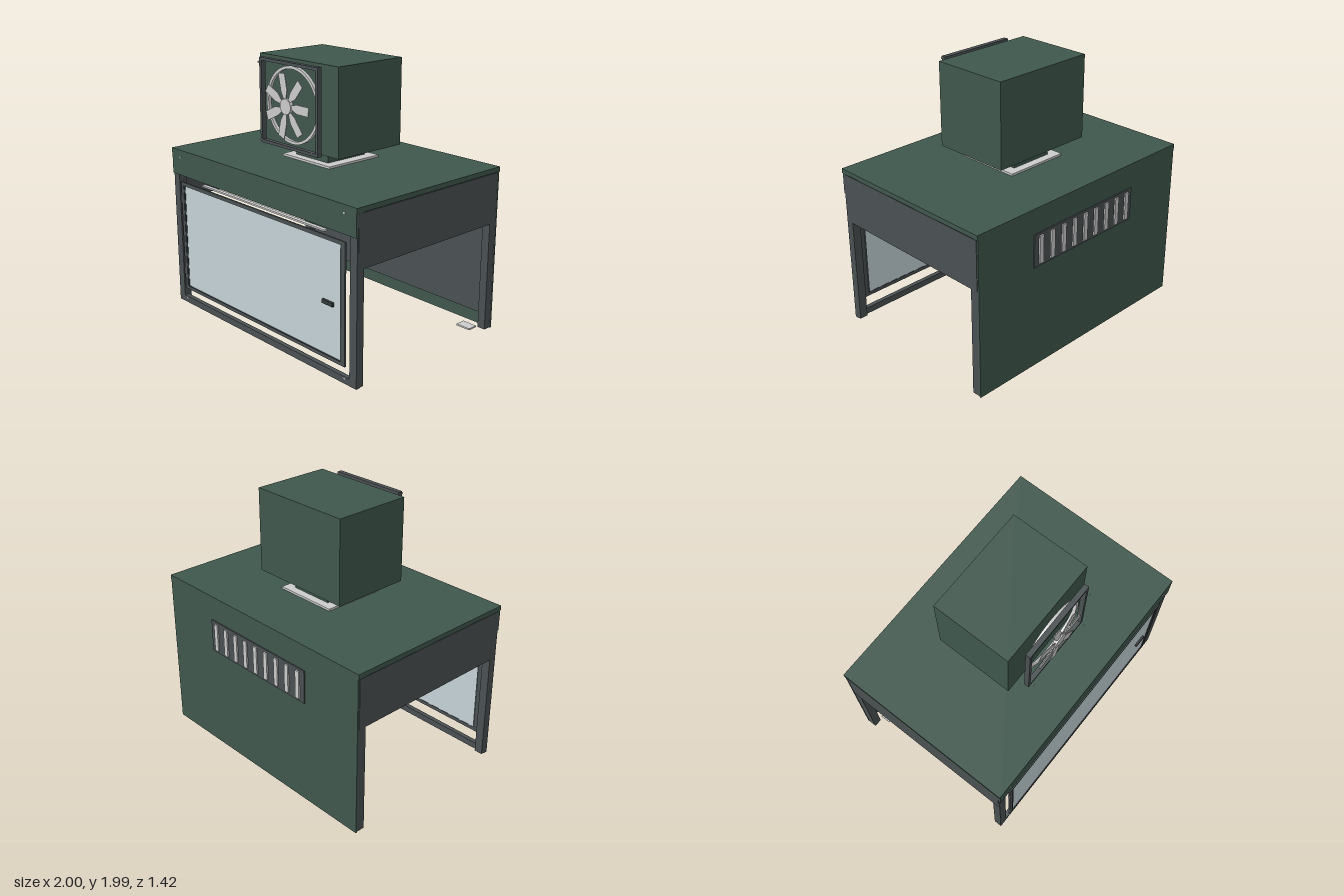
import * as THREE from 'three';

const mat = (color) => new THREE.MeshStandardMaterial({ color });

export function createModel() {
  const root = new THREE.Group();
  root.name = 'coolingCabinet';
  const green = mat(0x3f574d), dark = mat(0x4a5052), black = mat(0x34393b);
  const grey = mat(0xcccccc), glass = mat(0xc4d2d6);

  const add = (name, geometry, material, parent = root) => {
    const m = new THREE.Mesh(geometry, material);
    m.name = name;
    parent.add(m);
    return m;
  };
  // Box given by its limits on each axis
  const box = (name, x0, x1, y0, y1, z0, z1, material, parent) => {
    const m = add(name, new THREE.BoxGeometry(x1 - x0, y1 - y0, z1 - z0), material, parent);
    m.position.set((x0 + x1) / 2, (y0 + y1) / 2, (z0 + z1) / 2);
    return m;
  };
  // Rectangular frame in the xy plane, extruded from z0 to z1
  const rect = (T, w, h) => {
    const s = new T();
    s.moveTo(-w, -h); s.lineTo(w, -h); s.lineTo(w, h); s.lineTo(-w, h); s.closePath();
    return s;
  };
  const frame = (name, w, h, iw, ih, depth, material, parent) => {
    const s = rect(THREE.Shape, w, h);
    s.holes.push(rect(THREE.Path, iw, ih));
    return add(name, new THREE.ExtrudeGeometry(s, { depth, bevelEnabled: false }), material, parent);
  };
  const disc = (name, r, depth, x, y, z, material, parent, sides = 32) => {
    const m = add(name, new THREE.CylinderGeometry(r, r, depth, sides).rotateX(Math.PI / 2), material, parent);
    m.position.set(x, y, z);
    return m;
  };

  // Cabinet shell
  box('topPanel', -1, 1, 1.21, 1.245, -0.69, 0.70, green);
  box('headerPanel', -0.995, 0.995, 1.05, 1.21, 0.69, 0.70, green);
  box('backPanel', -0.995, 0.995, 0.015, 1.21, -0.69, -0.68, green);
  box('backLiner', -0.93, 0.93, 0.11, 1.2, -0.68, -0.67, dark);
  box('bottomRail', -0.995, 0.995, 0.015, 0.065, 0.655, 0.69, dark);
  box('lightStrip', -0.67, 0.67, 1.003, 1.015, 0.64, 0.67, grey);

  for (const s of [-1, 1]) {
    const pair = (name, a, b, ...rest) => box(name, Math.min(s * a, s * b), Math.max(s * a, s * b), ...rest);
    pair('frontLeg', 0.93, 0.995, 0.02, 1.21, 0.63, 0.69, dark);
    pair('rearLeg', 0.93, 0.993, 0.02, 1.2, -0.68, -0.615, dark);
    pair('sidePanel', 0.98, 0.997, 0.835, 1.205, -0.675, 0.68, dark);
    pair('footPlate', 0.78, 0.90, 0, 0.012, -0.635, -0.555, grey);
    for (const y of [0.055, 1.19]) disc('screw', 0.008, 0.006, s * 0.89, y, y > 1 ? 0.702 : 0.692, grey, root, 12);
  }

  // Glazed door
  const door = new THREE.Group();
  door.name = 'door';
  door.position.set(0, 0.57, 0.688);
  root.add(door);
  frame('doorFrame', 0.895, 0.43, 0.865, 0.405, 0.013, dark, door);
  frame('doorSeal', 0.868, 0.408, 0.85, 0.4, 0.01, black, door);
  box('doorGlass', -0.855, 0.855, -0.402, 0.402, 0.002, 0.007, glass, door);
  box('doorHandle', 0.69, 0.79, -0.04, -0.012, 0.007, 0.023, black, door);
  for (const y of [-0.285, 0.29]) box('hinge', -0.9, -0.893, y - 0.025, y + 0.025, 0, 0.014, grey, door);

  // Air duct, hollow and open below
  const duct = frame('duct', 0.17, 0.18, 0.16, 0.17, 0.33, green);
  duct.rotation.x = -Math.PI / 2;
  duct.position.y = 1.03;
  const liner = frame('ductLiner', 0.161, 0.171, 0.15, 0.16, 0.31, grey);
  liner.rotation.x = -Math.PI / 2;
  liner.position.y = 1.04;
  const flange = frame('ductFlange', 0.25, 0.24, 0.165, 0.175, 0.016, grey);
  flange.rotation.x = -Math.PI / 2;
  flange.position.y = 1.247;

  // Fan housing
  box('coolerBox', -0.41, 0.41, 1.36, 1.985, -0.295, 0.305, green);
  const fan = new THREE.Group();
  fan.name = 'fan';
  fan.position.set(0, 1.672, 0);
  root.add(fan);
  frame('fanFrame', 0.305, 0.305, 0.283, 0.283, 0.037, dark, fan).position.z = 0.36;
  const ringShape = new THREE.Shape().absarc(0, 0, 0.274, 0, Math.PI * 2);
  ringShape.holes.push(new THREE.Path().absarc(0, 0, 0.253, 0, Math.PI * 2, true));
  add('fanRing', new THREE.ExtrudeGeometry(ringShape, { depth: 0.025, bevelEnabled: false, curveSegments: 32 }), grey, fan)
    .position.z = 0.335;
  disc('fanHub', 0.056, 0.028, 0, 0, 0.407, grey, fan);

  // Seven flat blades, narrow at the root
  const bladeShape = new THREE.Shape([
    [0.05, -0.012], [0.11, -0.04], [0.225, -0.045], [0.235, 0.02], [0.11, 0.025], [0.05, 0.012],
  ].map(([x, y]) => new THREE.Vector2(x, y)));
  const bladeGeo = new THREE.ExtrudeGeometry(bladeShape, { depth: 0.006, bevelEnabled: false });
  for (let i = 0; i < 7; i++) {
    const blade = add('fanBlade', bladeGeo, grey, fan);
    blade.position.z = 0.407;
    blade.rotation.z = 1.83 + (i * Math.PI * 2) / 7;
  }
  for (const x of [-0.277, 0.277]) for (const y of [-0.277, 0.277])
    disc('fanScrew', 0.007, 0.006, x, y, 0.425, grey, fan, 12);

  // Rear vent with upright slats
  box('ventPlate', -0.5, 0.5, 0.81, 1.06, -0.699, -0.688, dark);
  for (let i = -4; i <= 4; i++)
    box('ventSlat', i * 0.11 - 0.018, i * 0.11 + 0.018, 0.83, 1.04, -0.71, -0.697, grey);

  return root;
}
